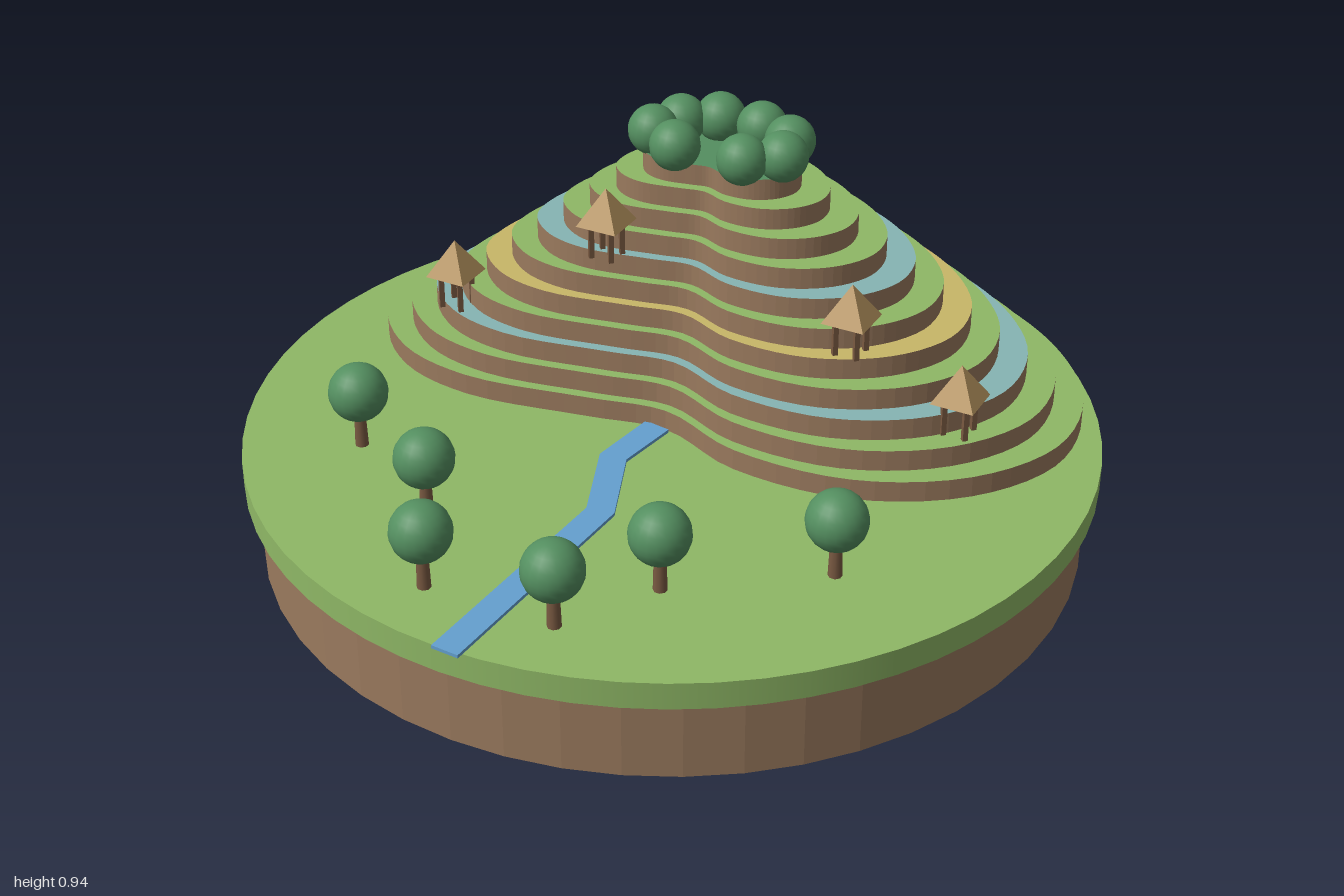
import * as THREE from 'three';

const mat = (name, color, flatShading = false) => {
  const m = new THREE.MeshStandardMaterial({ color, flatShading });
  m.name = name;
  return m;
};

export function createModel() {
  const grass = mat('grass green', 0x8fb866);
  const soil = mat('soil brown', 0x9a7a5e, true);
  const paddy = mat('paddy water', 0x86b5b3);
  const crop = mat('ripe crop', 0xc8b768);
  const water = mat('stream blue', 0x64a0d0);
  const leaf = mat('leaf green', 0x548f60);
  const bark = mat('bark brown', 0x7a5a42);
  const thatch = mat('thatch', 0xb8955f, true);
  const model = new THREE.Group();

  const add = (parent, name, geometry, material, x = 0, y = 0, z = 0) => {
    const mesh = new THREE.Mesh(geometry, material);
    mesh.name = name;
    mesh.position.set(x, y, z);
    parent.add(mesh);
    return mesh;
  };

  // Extrude an outline of [x, z] points upward
  const slab = (points, height) => {
    const shape = new THREE.Shape(points.map(([x, z]) => new THREE.Vector2(x, -z)));
    return new THREE.ExtrudeGeometry(shape, { depth: height, bevelEnabled: false }).rotateX(-Math.PI / 2);
  };

  // Round plinth with a grass cap
  const ground = 0.265;
  add(model, 'soilBase', new THREE.CylinderGeometry(0.97, 0.97, 0.2, 48), soil, 0, 0.1, 0);
  add(model, 'grassDisc', new THREE.CylinderGeometry(1, 1, ground - 0.2, 64), grass, 0, (0.2 + ground) / 2, 0);

  // Terraces: one hill outline with a valley at the front, shrinking toward the summit
  const cx = 0.085, cz = -0.26, tiers = 11, step = 0.0515;
  const outline = new THREE.CatmullRomCurve3([
    [-0.749, -0.36], [-0.67, -0.18], [-0.5, -0.06], [-0.2, 0.01], [-0.01, 0.05], [0.16, 0.2],
    [0.43, 0.294], [0.7, 0.255], [0.89, 0.11], [0.957, -0.1], [0.91, -0.32], [0.78, -0.53],
    [0.56, -0.73], [0.3, -0.86], [0.02, -0.904], [-0.28, -0.86], [-0.53, -0.72], [-0.69, -0.54],
  ].map(([x, z]) => new THREE.Vector3(x - cx, 0, z - cz)), true).getPoints(90).slice(0, -1);
  const tops = { 2: paddy, 4: crop, 6: paddy, 10: leaf };
  const tierTop = (i) => ground + (i + 1) * step;
  for (let i = 0; i < tiers; i++) {
    const s = 1 - 0.078 * i;
    add(model, 'terrace' + (i + 1), slab(outline.map((p) => [p.x * s, p.z * s]), step),
      [tops[i] || grass, soil], cx, tierTop(i) - step, cz);
  }

  // Stream: a thin ribbon with mitred bends
  const path = [[-0.03, 0.045], [-0.115, 0.19], [-0.115, 0.41], [-0.363, 0.945]].map((p) => new THREE.Vector2(...p));
  const near = [], far = [];
  path.forEach((p, i) => {
    const a = p.clone().sub(path[Math.max(i - 1, 0)]).normalize();
    const b = path[Math.min(i + 1, path.length - 1)].clone().sub(p).normalize();
    const d = a.add(b).normalize().multiplyScalar(0.033);
    near.push([p.x - d.y, p.y + d.x]);
    far.unshift([p.x + d.y, p.y - d.x]);
  });
  add(model, 'stream', slab([...near, ...far], 0.008), water, 0, ground, 0);

  // Trees on the plain
  const crown = new THREE.SphereGeometry(0.069, 20, 14);
  const trunk = new THREE.CylinderGeometry(0.013, 0.016, 0.1, 8);
  [[-0.7, 0.187], [-0.497, 0.444], [-0.449, 0.722], [-0.155, 0.829], [0.048, 0.679], [0.412, 0.588]].forEach(([x, z]) => {
    const tree = new THREE.Group();
    tree.name = 'tree';
    tree.position.set(x, ground, z);
    add(tree, 'trunk', trunk, bark, 0, 0.05, 0);
    add(tree, 'crown', crown, leaf, 0, 0.141, 0);
    model.add(tree);
  });

  // Ring of bushes on the summit
  const bush = new THREE.SphereGeometry(0.06, 20, 14);
  [[-0.075, -0.289], [-0.016, -0.353], [0.075, -0.374], [0.176, -0.332], [0.246, -0.262],
    [0.235, -0.176], [0.144, -0.15], [-0.016, -0.209]].forEach(([x, z]) => add(model, 'summitBush', bush, leaf, x, 0.875, z));

  // Stilt huts with pyramid roofs, each standing on its terrace
  const roof = new THREE.ConeGeometry(0.073, 0.088, 4);
  const post = new THREE.BoxGeometry(0.012, 0.095, 0.012);
  [[-0.545, -0.219, 2], [-0.166, -0.123, 6], [0.412, 0.086, 4], [0.663, 0.15, 1]].forEach(([x, z, tier]) => {
    const hut = new THREE.Group();
    hut.name = 'hut';
    hut.position.set(x, tierTop(tier), z);
    hut.rotation.y = 0.4;
    add(hut, 'roof', roof, thatch, 0, 0.129, 0);
    for (let k = 0; k < 4; k++) {
      const a = k * Math.PI / 2;
      add(hut, 'post', post, bark, 0.037 * Math.cos(a), 0.0475, 0.037 * Math.sin(a));
    }
    model.add(hut);
  });

  return model;
}
